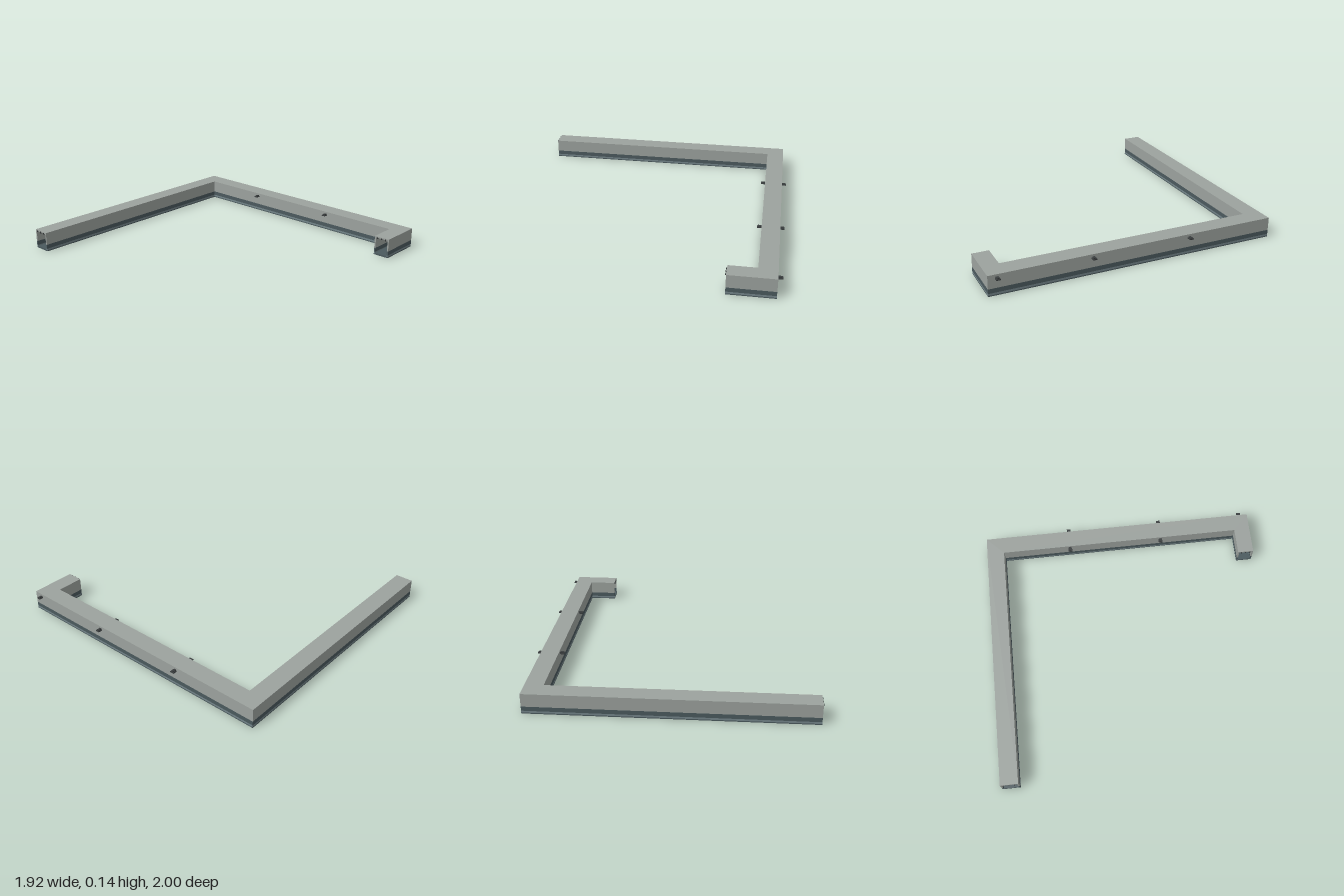
import * as THREE from 'three';

const mat = (name, color) => {
  const m = new THREE.MeshStandardMaterial({ color });
  m.name = name;
  return m;
};

// Plan outlines as [x, z], running from the long arm's end to the short arm's end
const T = 0.01;
const outer = [[-0.955, -1], [0.925, -1], [0.925, 1], [0.61, 1]];
const inner = [[-0.955, -0.875], [0.8, -0.875], [0.8, 0.885], [0.61, 0.885]];
// Move an outline sideways by d: positive towards the inside of the bend
const inset = (path, d) => path.map(([x, z], i) => [
  i === 1 || i === 2 ? x - d : x, i < 2 ? z + d : z - d]);

export function createModel() {
  const model = new THREE.Group();
  const grey = mat('panel grey', 0x9ca29e);
  const slate = mat('dark slate', 0x4b5a5e);
  const blueGrey = mat('blue grey', 0x74858a);
  const charcoal = mat('charcoal', 0x3a3e3f);

  // Extrude the plan area between two outlines from y0 to y1
  const slab = (name, a, b, y0, y1, material) => {
    const pts = [...a, ...[...b].reverse()].map(([x, z]) => new THREE.Vector2(x, -z));
    const geo = new THREE.ExtrudeGeometry(new THREE.Shape(pts), { depth: y1 - y0, bevelEnabled: false });
    geo.rotateX(-Math.PI / 2).translate(0, y0, 0);
    const mesh = new THREE.Mesh(geo, material);
    mesh.name = name;
    model.add(mesh);
  };

  // Floor and roof
  slab('floor', inset(outer, T), inset(inner, -T), 0, 0.012, slate);
  slab('roof', outer, inner, 0.13, 0.14, grey);

  // Hollow corridor walls in coloured bands
  const bands = [
    ['footing', 0, 0.007, slate],
    ['skirting', 0.007, 0.02, blueGrey],
    ['darkBand', 0.02, 0.05, slate],
    ['wallPanel', 0.05, 0.13, grey],
  ];
  for (const [name, y0, y1, m] of bands) {
    slab(name + 'Outer', outer, inset(outer, T), y0, y1, m);
    slab(name + 'Inner', inner, inset(inner, -T), y0, y1, m);
  }

  const box = (parent, name, w, h, d, x, y, z) => {
    const mesh = new THREE.Mesh(new THREE.BoxGeometry(w, h, d), charcoal);
    mesh.name = name;
    mesh.position.set(x, y, z);
    parent.add(mesh);
  };

  // Wall lamps on both sides of the middle corridor
  const lamp = (x, z, side) => {
    const g = new THREE.Group();
    g.name = 'wallLamp';
    box(g, 'lampShade', 0.03, 0.007, 0.028, 0.015, 0, 0);
    box(g, 'lampTop', 0.024, 0.006, 0.016, 0.012, 0.0065, 0);
    g.position.set(x, 0.116, z);
    if (side < 0) g.rotation.y = Math.PI;
    model.add(g);
  };
  for (const z of [-0.375, 0.315, 0.94]) lamp(0.925, z, 1);
  for (const z of [-0.375, 0.315]) lamp(0.8, z, -1);

  // Small clips above both open ends
  for (const [x, zs] of [[-0.957, [-0.975, -0.9375, -0.9]], [0.608, [0.91, 0.9425, 0.975]]])
    for (const z of zs) box(model, 'endClip', 0.008, 0.012, 0.005, x, 0.13, z);

  return model;
}
